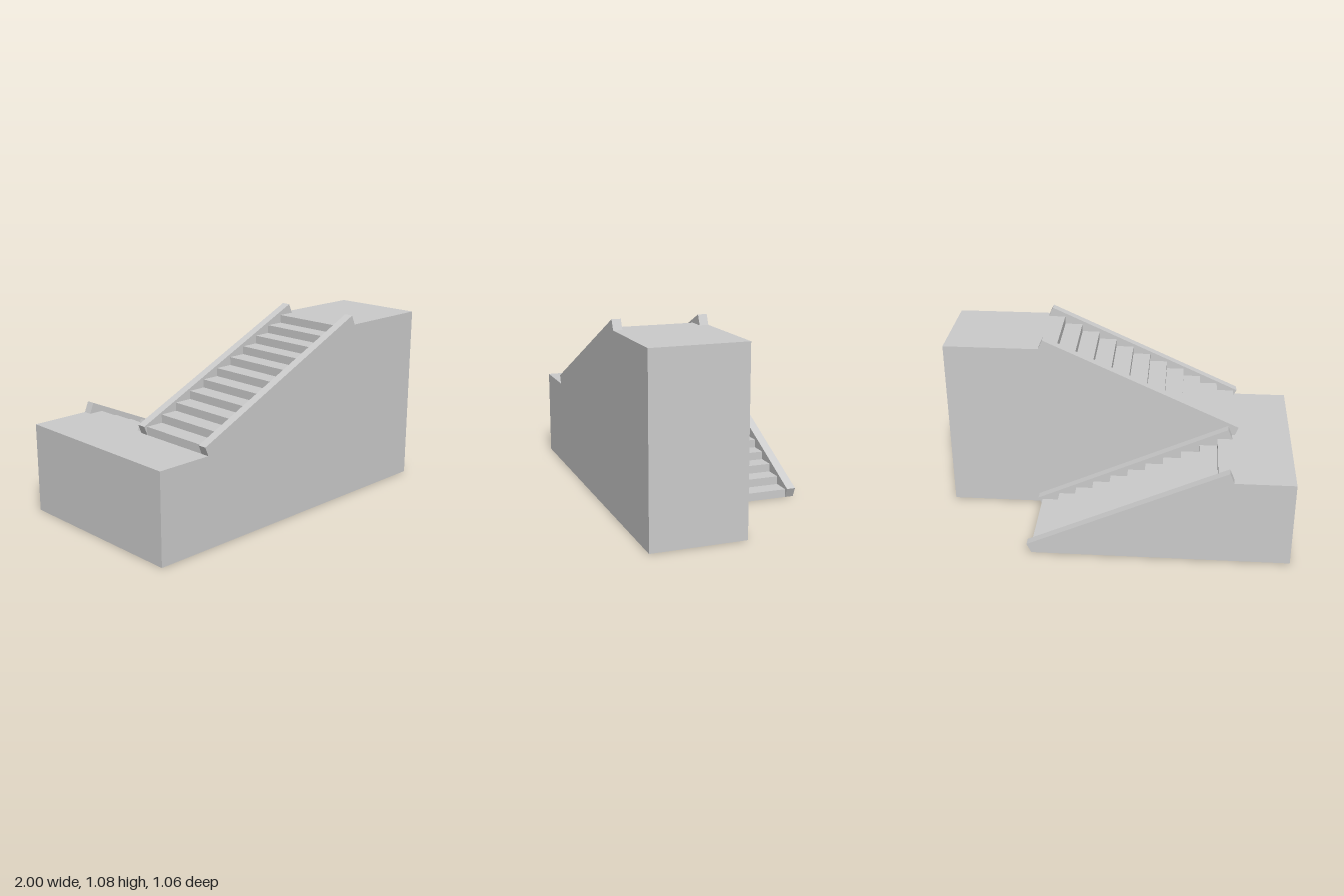
import * as THREE from 'three';

const STEPS = 11, RISE = 0.51 / STEPS, RUN = 0.1035;
const HALF = 0.53, RAIL = 0.05;

const material = new THREE.MeshStandardMaterial({
  color: 0xcccccc, flatShading: true, side: THREE.DoubleSide,
});

function addMesh(group, name, geometry) {
  const mesh = new THREE.Mesh(geometry, material);
  mesh.name = name;
  group.add(mesh);
}

// Sweeps an open xy profile (left to right, outside above) from z0 to z1
function ribbon(points, z0, z1) {
  const pos = [];
  for (let i = 0; i < points.length - 1; i++) {
    const [ax, ay] = points[i], [bx, by] = points[i + 1];
    pos.push(ax, ay, z0, ax, ay, z1, bx, by, z1);
    pos.push(ax, ay, z0, bx, by, z1, bx, by, z0);
  }
  const g = new THREE.BufferGeometry();
  g.setAttribute('position', new THREE.Float32BufferAttribute(pos, 3));
  g.computeVertexNormals();
  return g;
}

// Flat upright panel at depth z, facing front or back
function panel(points, z, facesBack = false) {
  const g = new THREE.ShapeGeometry(new THREE.Shape(points.map(([x, y]) => new THREE.Vector2(x, y))));
  if (facesBack) {
    g.index.array.reverse();
    g.computeVertexNormals();
  }
  return g.translate(0, 0, z);
}

// One flight: steps between two raised side rails
function addFlight(group, name, steps, rail, zMin, zMax) {
  const flight = new THREE.Group();
  flight.name = name;
  const inner = [...rail, ...[...steps].reverse()];
  addMesh(flight, 'steps', ribbon(steps, zMin + RAIL, zMax - RAIL));
  addMesh(flight, 'backRailTop', ribbon(rail, zMin, zMin + RAIL));
  addMesh(flight, 'frontRailTop', ribbon(rail, zMax - RAIL, zMax));
  addMesh(flight, 'backRailInnerFace', panel(inner, zMin + RAIL));
  addMesh(flight, 'frontRailInnerFace', panel(inner, zMax - RAIL, true));
  group.add(flight);
}

export function createModel() {
  const model = new THREE.Group();
  model.name = 'doubleStaircase';

  // Rail outlines, left to right
  const upperRail = [[-0.68, 0.51], [-0.7, 0.56], [0.43, 1.075], [0.455, 1.02]];
  const lowerRail = [[-0.665, 0.51], [-0.64, 0.57], [0.48, 0.055], [0.455, 0]];

  // Step outlines: the upper flight climbs to +x, the lower one descends
  const upperSteps = [], lowerSteps = [[-0.665, 0.51]];
  for (let i = 0; i < STEPS; i++) {
    const up = -0.68 + i * RUN, down = -0.58 + i * RUN;
    upperSteps.push([up, 0.51 + i * RISE], [up, 0.51 + (i + 1) * RISE]);
    lowerSteps.push([down, 0.51 - i * RISE], [down, 0.51 - (i + 1) * RISE]);
  }
  upperSteps.push([0.455, 1.02]);

  addFlight(model, 'upperFlight', upperSteps, upperRail, 0, HALF);
  addFlight(model, 'lowerFlight', lowerSteps, lowerRail, -HALF, 0);

  // Landing and top platform, each with its end wall
  addMesh(model, 'landingFront', ribbon([[-1, 0], [-1, 0.51], [-0.68, 0.51]], 0, HALF));
  addMesh(model, 'landingBack', ribbon([[-1, 0], [-1, 0.51], [-0.665, 0.51]], -HALF, 0));
  addMesh(model, 'topPlatform', ribbon([[0.455, 1.02], [1, 1.02], [1, 0]], 0, HALF));

  // Outer walls
  addMesh(model, 'frontWall',
    panel([[-1, 0], [-1, 0.51], ...upperRail, [1, 1.02], [1, 0]], HALF));
  addMesh(model, 'backWall',
    panel([[-1, 0], [-1, 0.51], ...lowerRail], -HALF, true));

  // Middle wall rising above the lower flight
  addMesh(model, 'middleWall',
    panel([...upperRail, [1, 1.02], [1, 0], ...[...lowerRail].reverse()], 0, true));

  return model;
}
